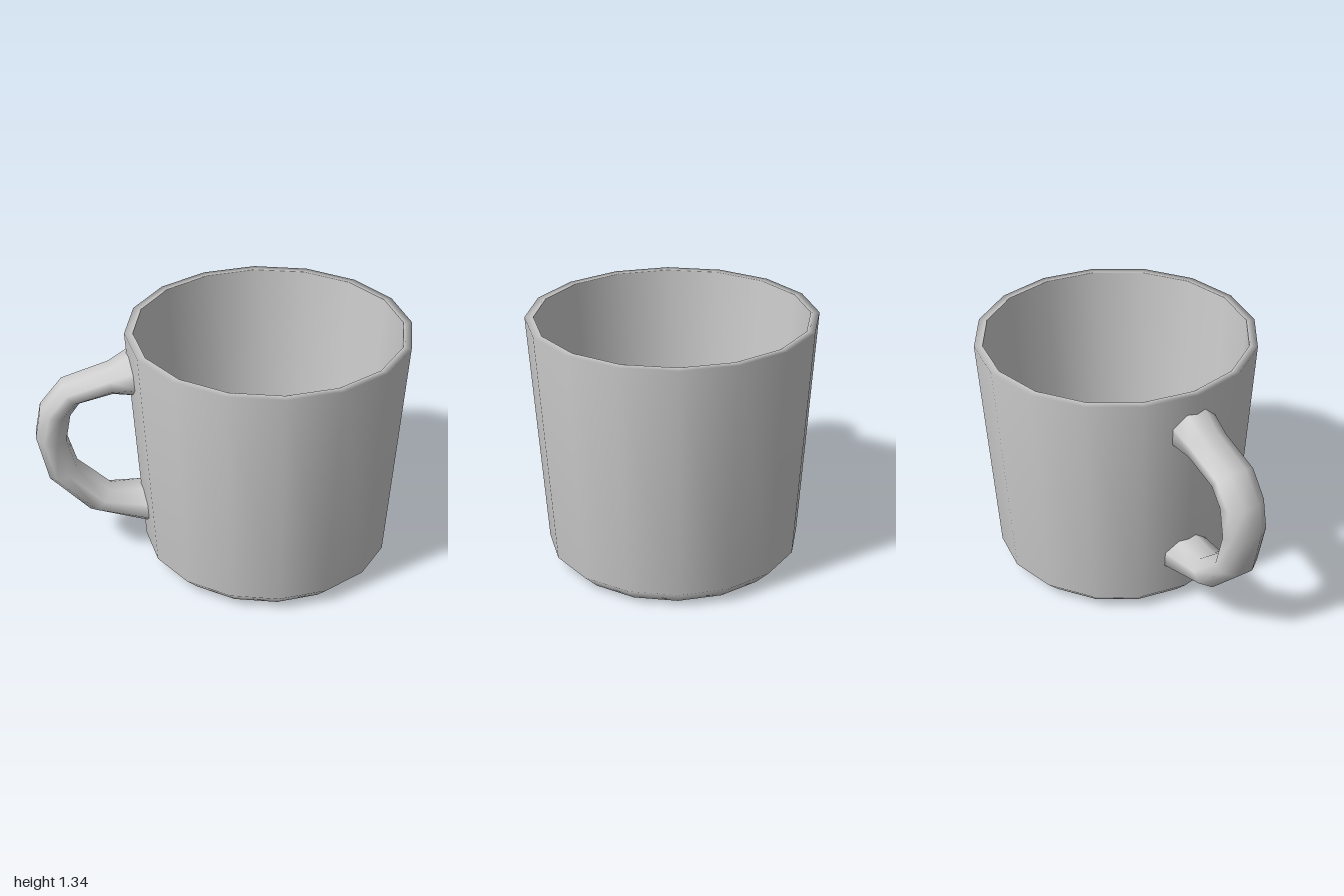
import * as THREE from 'three';

const CUP_X = 0.245, SIDES = 16;
const gray = new THREE.MeshStandardMaterial({ color: 0xcccccc });
gray.name = 'light gray';

// One smooth 16-sided section of the cup; separate sections meet in sharp edges
function cupSection(name, profile) {
  const points = profile.map(([r, y]) => new THREE.Vector2(r, y));
  const mesh = new THREE.Mesh(new THREE.LatheGeometry(points, SIDES), gray);
  mesh.name = name;
  mesh.position.x = CUP_X;
  return mesh;
}

// x of the faceted outer wall on the handle side, for fitting the handle ends
function wallX(y, z) {
  const radius = 0.67 + (0.085 * (y - 0.08)) / 1.26;
  return CUP_X - radius + Math.abs(z) * Math.tan(Math.PI / SIDES);
}

// Octagonal handle lofted through [outerX, outerY, innerX, innerY, halfWidth]
function handleGeometry() {
  const rings = [
    [-0.51, 1.24, -0.48, 1.0, 0.13],
    [-0.6, 1.16, -0.58, 1.01, 0.112],
    [-0.85, 1.07, -0.76, 0.96, 0.112],
    [-0.97, 0.92, -0.81, 0.89, 0.11],
    [-1.0, 0.76, -0.84, 0.73, 0.11],
    [-0.94, 0.5, -0.79, 0.56, 0.11],
    [-0.73, 0.29, -0.61, 0.4, 0.11],
    [-0.43, 0.2, -0.44, 0.41, 0.13],
  ];
  const n = 8, edge = Math.cos(Math.PI / n);
  const positions = [], index = [];
  rings.forEach(([ox, oy, ix, iy, w], i) => {
    const isEnd = i === 0 || i === rings.length - 1;
    for (let j = 0; j < n; j++) {
      const a = ((j + 0.5) / n) * Math.PI * 2;
      const t = 0.5 + (0.5 * Math.cos(a)) / edge;
      const y = iy + (oy - iy) * t;
      const z = (w * Math.sin(a)) / edge;
      // End rings follow the wall and sink slightly into it
      const x = isEnd ? wallX(y, z) + 0.015 : ix + (ox - ix) * t;
      positions.push(x, y, z);
      if (i > 0) {
        const k = (j + 1) % n;
        const p = (i - 1) * n + j, q = (i - 1) * n + k;
        const r = i * n + j, s = i * n + k;
        index.push(p, r, q, q, r, s);
      }
    }
  });
  const geometry = new THREE.BufferGeometry();
  geometry.setAttribute('position', new THREE.Float32BufferAttribute(positions, 3));
  geometry.setIndex(index);
  geometry.computeVertexNormals();
  return geometry;
}

export function createModel() {
  const mug = new THREE.Group();
  mug.name = 'mug';

  // Base, bevel, outer wall and rim
  mug.add(cupSection('outerShell', [[0, 0], [0.59, 0], [0.67, 0.08], [0.755, 1.34], [0.71, 1.34]]));
  // Hollow interior
  mug.add(cupSection('innerWall', [[0.71, 1.34], [0.63, 0.08]]));
  mug.add(cupSection('innerFloor', [[0.63, 0.08], [0, 0.08]]));

  const handle = new THREE.Mesh(handleGeometry(), gray);
  handle.name = 'handle';
  mug.add(handle);
  return mug;
}
